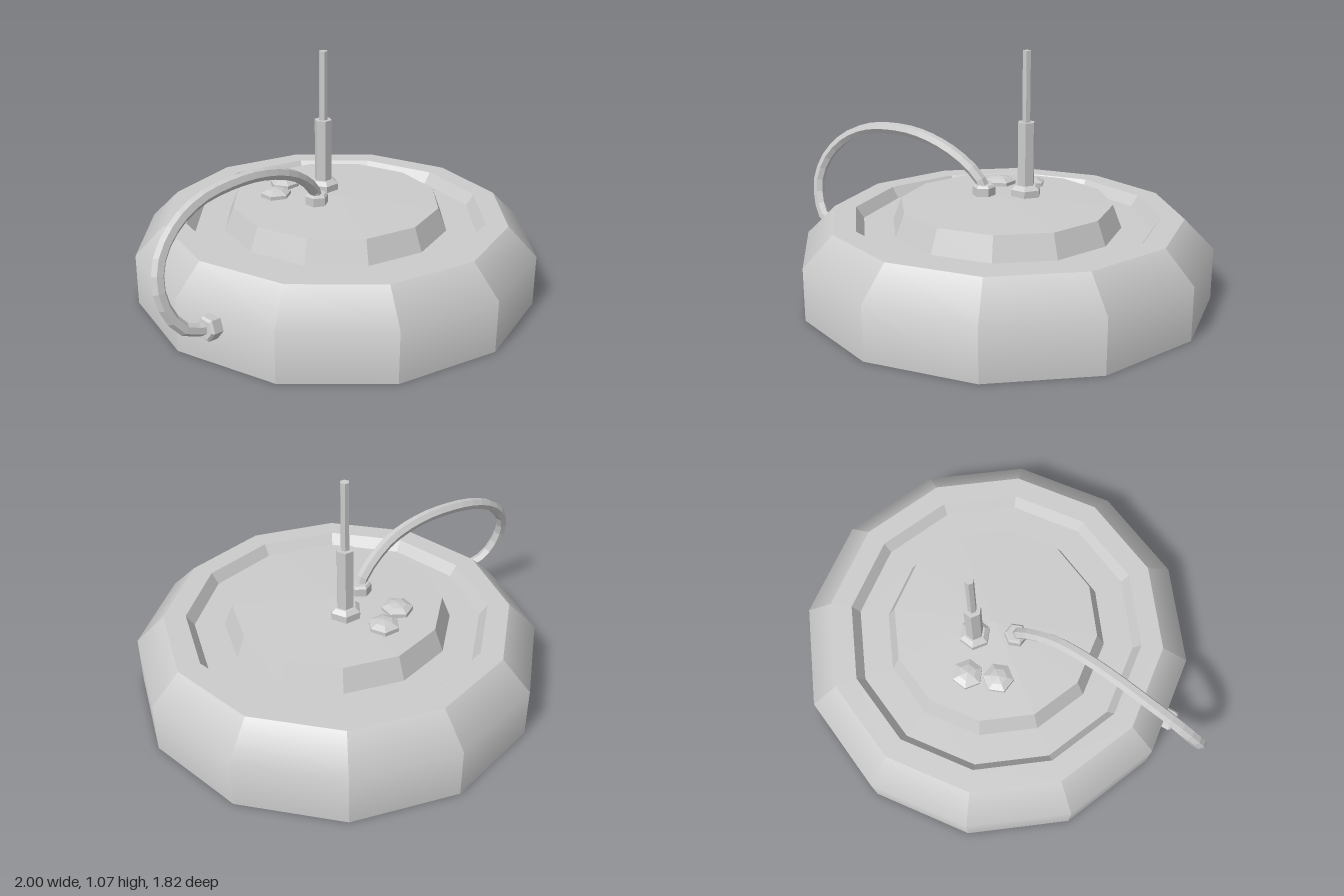
import * as THREE from 'three';
import { mergeGeometries } from 'three/addons/utils/BufferGeometryUtils.js';

const flat = new THREE.MeshStandardMaterial({ color: 0xcccccc, flatShading: true });
const smooth = new THREE.MeshStandardMaterial({ color: 0xcccccc });

const CENTRE_X = 0.09;
const points = (list) => list.map(([r, y]) => new THREE.Vector2(r, y));

function add(parent, name, geometry, material = flat) {
  const mesh = new THREE.Mesh(geometry, material);
  mesh.name = name;
  parent.add(mesh);
  return mesh;
}

// Flat-sided turned part; turn rotates its corners about y
function turned(profile, sides, turn = 0) {
  return new THREE.LatheGeometry(points(profile), sides).rotateY(turn);
}

// Turned wall with hard upright edges but a soft bend along its profile
function panelledWall(profile, sides) {
  const step = (Math.PI * 2) / sides;
  const panels = [];
  for (let i = 0; i < sides; i++) {
    const panel = new THREE.LatheGeometry(points(profile), 1, i * step, step);
    const normal = panel.attributes.normal;
    const mid = (i + 0.5) * step;
    for (let j = 0; j < normal.count; j++) {
      const radial = Math.hypot(normal.getX(j), normal.getZ(j));
      normal.setXYZ(j, radial * Math.sin(mid), normal.getY(j), radial * Math.cos(mid));
    }
    panels.push(panel);
  }
  return mergeGeometries(panels);
}

export function createModel() {
  const model = new THREE.Group();
  model.name = 'antennaBase';

  // Twelve-sided housing
  const housing = new THREE.Group();
  housing.name = 'housing';
  housing.position.x = CENTRE_X;
  model.add(housing);
  add(housing, 'outerWall', panelledWall([[0.91, 0], [0.91, 0.23], [0.78, 0.36]], 12), smooth);
  add(housing, 'underside', turned([[0, 0], [0.91, 0]], 12));
  // Rim, recessed groove and raised centre plate
  add(housing, 'topPlate', turned([
    [0.78, 0.36], [0.68, 0.36], [0.645, 0.31], [0.51, 0.31], [0.47, 0.413], [0, 0.425],
  ], 12));

  // Antenna: chamfered hex nut, sleeve and thin rod
  const antenna = new THREE.Group();
  antenna.name = 'antenna';
  antenna.position.set(0.12, 0, -0.11);
  model.add(antenna);
  const sixth = Math.PI / 6;
  add(antenna, 'antennaNut', turned([[0.072, 0.41], [0.072, 0.453], [0.05, 0.47], [0, 0.47]], 6, sixth));
  add(antenna, 'antennaSleeve', turned([[0.04, 0.46], [0.04, 0.755], [0, 0.755]], 6, sixth));
  add(antenna, 'antennaRod', turned([[0.02, 0.75], [0.02, 1.07], [0, 1.07]], 6, sixth));

  // Two low hex bolts with pointed heads
  for (const [x, z, turn] of [[-0.09, -0.205, 0], [0.03, -0.275, sixth]]) {
    const bolt = add(model, 'bolt', turned([[0.07, 0.41], [0.07, 0.435], [0.04, 0.449], [0, 0.456]], 6, turn));
    bolt.position.set(x, 0, z);
  }

  // Looping cable from the top plate to the side wall
  const path = new THREE.CatmullRomCurve3([
    [-0.025, 0.43, 0], [-0.05, 0.49, 0.005], [-0.12, 0.557, 0.018], [-0.23, 0.62, 0.034],
    [-0.38, 0.66, 0.04], [-0.53, 0.667, 0.043], [-0.7, 0.645, 0.048], [-0.84, 0.583, 0.065],
    [-0.94, 0.48, 0.092], [-0.972, 0.37, 0.123], [-0.945, 0.26, 0.15], [-0.89, 0.195, 0.172],
    [-0.78, 0.17, 0.188],
  ].map((p) => new THREE.Vector3(...p)));
  add(model, 'cable', new THREE.TubeGeometry(path, 24, 0.027, 6));

  // Hex fittings at both cable ends
  const fitting = [[0, 0], [0.052, 0], [0.052, 0.045], [0.042, 0.055], [0, 0.055]];
  add(model, 'topCableFitting', turned(fitting, 6)).position.set(-0.03, 0.415, 0);
  const side = add(model, 'sideCableFitting', turned(fitting, 6));
  side.position.set(-0.77, 0.172, 0.185);
  side.quaternion.setFromUnitVectors(
    new THREE.Vector3(0, 1, 0), new THREE.Vector3(-1, 0.12, 0.1).normalize());

  return model;
}
